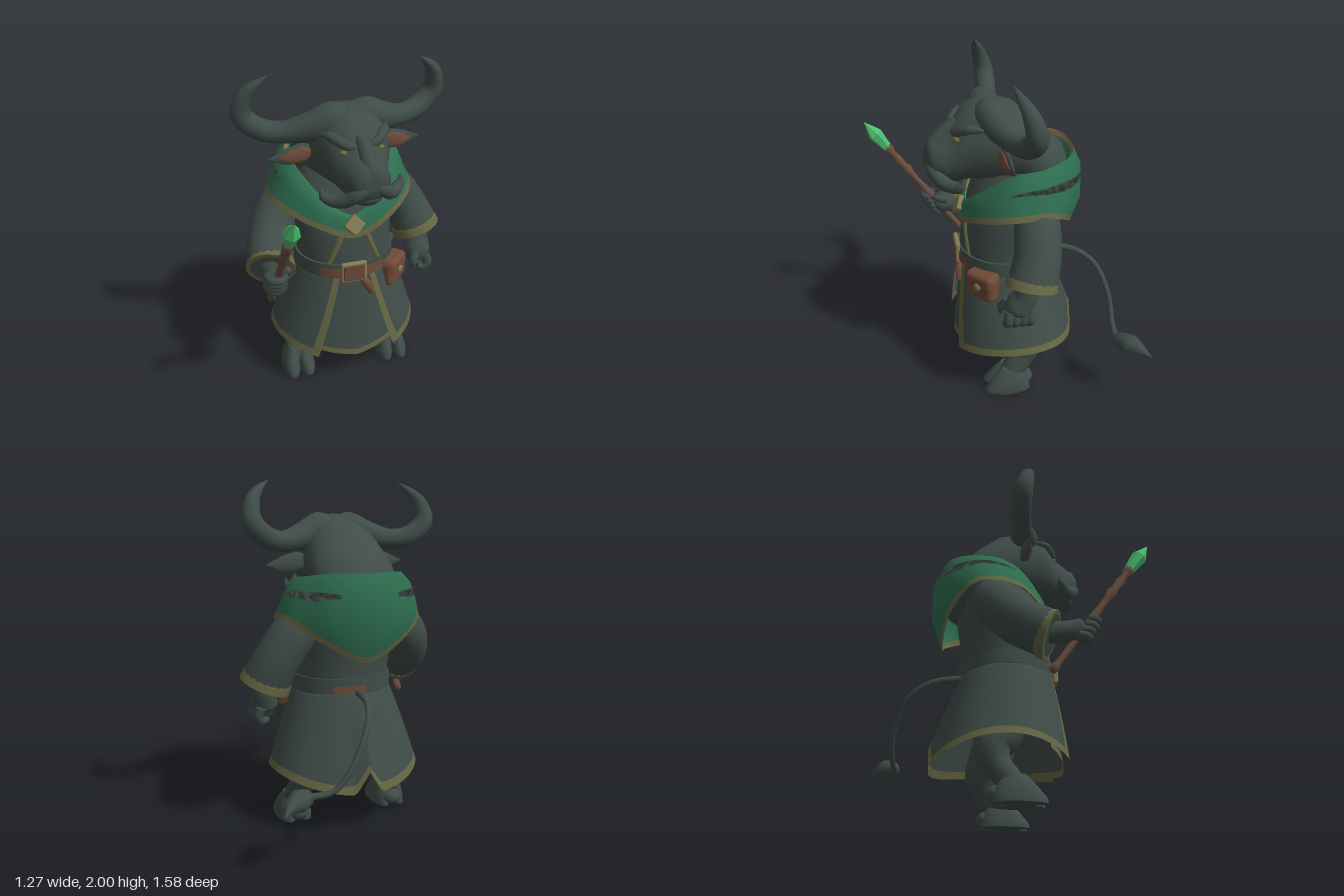
import * as THREE from 'three';
import { ParametricGeometry } from 'three/addons/geometries/ParametricGeometry.js';
import { RoundedBoxGeometry } from 'three/addons/geometries/RoundedBoxGeometry.js';

const V = (x, y, z) => new THREE.Vector3(x, y, z);
const lerp = THREE.MathUtils.lerp;

// Skin a list of equal-length closed rings; caps get their own vertices so rims stay sharp
function loft(rings, capped = true) {
  const n = rings[0].length, pos = [], idx = [];
  const add = p => pos.push(p.x, p.y, p.z) / 3 - 1;
  rings.forEach(r => r.forEach(add));
  for (let i = 0; i < rings.length - 1; i++) for (let j = 0; j < n; j++) {
    const a = i * n + j, b = i * n + (j + 1) % n;
    idx.push(a, b, a + n, b, b + n, a + n);
  }
  if (capped) [[rings[0], true], [rings.at(-1), false]].forEach(([r, start]) => {
    const c = add(r.reduce((s, p) => s.add(p), V(0, 0, 0)).divideScalar(n)), first = c + 1;
    r.forEach(add);
    for (let j = 0; j < n; j++) {
      const a = first + j, b = first + (j + 1) % n;
      start ? idx.push(c, b, a) : idx.push(c, a, b);
    }
  });
  // Turn the faces outward if the enclosed volume is negative
  const P = i => V(pos[3 * i], pos[3 * i + 1], pos[3 * i + 2]);
  let vol = 0;
  for (let i = 0; i < idx.length; i += 3) vol += P(idx[i]).dot(P(idx[i + 1]).cross(P(idx[i + 2])));
  if (vol < 0) idx.reverse();
  const g = new THREE.BufferGeometry();
  g.setAttribute('position', new THREE.Float32BufferAttribute(pos, 3));
  g.setIndex(idx);
  g.computeVertexNormals();
  return g;
}

// Round sweep through points, with one radius per point
function sweep(pts, radii, n = 10, per = 4) {
  const curve = new THREE.CatmullRomCurve3(pts.map(p => V(...p)), false, 'centripetal');
  const seg = (pts.length - 1) * per, rings = [];
  let normal = V(0.31, 0.17, 0.93);
  for (let i = 0; i <= seg; i++) {
    const t = i / seg, c = curve.getPoint(t), tan = curve.getTangent(t);
    normal = normal.clone().addScaledVector(tan, -normal.dot(tan)).normalize();
    const side = tan.clone().cross(normal), k = Math.min(Math.floor(i / per), pts.length - 2);
    const r = lerp(radii[k], radii[k + 1], i / per - k);
    rings.push(Array.from({ length: n }, (_, j) => {
      const a = j / n * Math.PI * 2;
      return c.clone().addScaledVector(normal, r * Math.cos(a)).addScaledVector(side, r * Math.sin(a));
    }));
  }
  return loft(rings);
}

// Horizontal ellipses: [y, centre x, centre z, radius x, radius z]
const stack = (rows, n = 32) => loft(rows.map(([y, x, z, rx, rz]) => Array.from({ length: n }, (_, j) => {
  const a = j / n * Math.PI * 2;
  return V(x + rx * Math.sin(a), y, z + rz * Math.cos(a));
})));

// Closed symmetric ring from points running front to back on the left side
function ring(half) {
  const mirrored = half.slice(1, -1).reverse().map(([x, y, z]) => [-x, y, z]);
  return new THREE.CatmullRomCurve3([...half, ...mirrored].map(p => V(...p)), true, 'centripetal').getPoints(60).slice(0, 60);
}
// Ring lying a fixed distance from ring a towards ring b
const stepRing = (a, b, d) => a.map((p, i) => p.clone().lerp(b[i], d / p.distanceTo(b[i])));

export function createModel() {
  const model = new THREE.Group();
  model.name = 'hornedMage';
  const mat = (name, color, side = THREE.FrontSide) => Object.assign(new THREE.MeshStandardMaterial({ color, side }), { name });
  const dark = mat('darkHideAndRobe', 0x3f4c47, THREE.DoubleSide);
  const green = mat('greenCloth', 0x2e6e50, THREE.DoubleSide);
  const trim = mat('oliveTrim', 0x656643, THREE.DoubleSide);
  const tan = mat('tanMetal', 0x837a53);
  const lip = mat('tanEdging', 0x806e4d, THREE.DoubleSide);
  const leather = mat('leather', 0x6e4938, THREE.DoubleSide);
  const wood = mat('wood', 0x6a4e3f);
  const gem = mat('greenCrystal', 0x4cbf70);
  gem.flatShading = true;
  const gold = mat('eyeGold', 0x6c663c);
  const put = (name, geo, m, parent = model) => {
    const mesh = new THREE.Mesh(geo, m);
    mesh.name = name;
    parent.add(mesh);
    return mesh;
  };
  const ball = (name, m, p, r, parent = model) => {
    const b = put(name, new THREE.SphereGeometry(1, 16, 12), m, parent);
    b.position.set(...p);
    b.scale.set(...r);
  };

  // Torso
  put('torso', stack([[0.76, 0, 0.01, 0.285, 0.26], [0.9, 0, 0.01, 0.285, 0.26], [1.02, 0, -0.005, 0.292, 0.262],
    [1.15, 0, -0.025, 0.3, 0.262], [1.3, 0, -0.06, 0.28, 0.25], [1.42, 0, -0.1, 0.2, 0.2]]), dark);

  // Head: sections along z, [z, centre y, half width, half height], turned slightly to its left
  const head = new THREE.Group();
  head.name = 'head';
  head.rotation.y = 0.1;
  model.add(head);
  const headRows = [[0.456, 1.48, 0.04, 0.035], [0.448, 1.48, 0.08, 0.08], [0.42, 1.475, 0.112, 0.115], [0.36, 1.472, 0.128, 0.14],
    [0.29, 1.5, 0.152, 0.172], [0.22, 1.56, 0.19, 0.22], [0.1, 1.57, 0.215, 0.248], [-0.05, 1.53, 0.245, 0.235],
    [-0.18, 1.43, 0.262, 0.225], [-0.27, 1.37, 0.225, 0.2], [-0.33, 1.35, 0.165, 0.16], [-0.37, 1.34, 0.08, 0.08]];
  put('skullAndNeck', loft(headRows.map(([z, cy, rx, ry]) => Array.from({ length: 28 }, (_, j) => {
    const a = j / 28 * Math.PI * 2;
    return V(rx * Math.cos(a), cy + ry * Math.sin(a), z);
  }))), dark, head);
  ball('chin', dark, [0, 1.385, 0.37], [0.09, 0.058, 0.07], head);
  put('noseBridge', sweep([[0, 1.68, 0.27], [0, 1.6, 0.36], [0, 1.54, 0.405], [0, 1.49, 0.415]], [0.035, 0.045, 0.052, 0.04]), dark, head);
  for (const s of [1, -1]) {
    put('horn', sweep([[0.03 * s, 1.72, 0.1], [0.1 * s, 1.732, 0.1], [0.2 * s, 1.695, 0.075], [0.35 * s, 1.663, 0.025], [0.47 * s, 1.685, -0.01],
      [0.562 * s, 1.77, -0.02], [0.55 * s, 1.88, 0.01], [0.5 * s, 1.945, 0.04], [0.43 * s, 2, 0.065]],
      [0.085, 0.094, 0.083, 0.061, 0.061, 0.061, 0.045, 0.028, 0.002], 14), dark, head);
    const ear = new THREE.Group();
    ear.name = 'ear';
    ear.position.set(0.18 * s, 1.55, 0.06);
    ear.scale.z = 0.35;
    head.add(ear);
    put('earShell', sweep([[0, 0, 0], [0.08 * s, -0.005, 0], [0.17 * s, -0.02, 0], [0.275 * s, -0.02, 0]], [0.025, 0.058, 0.05, 0.002]), dark, ear);
    put('earInner', sweep([[0.02 * s, 0, 0.05], [0.08 * s, -0.01, 0.05], [0.15 * s, -0.02, 0.05], [0.22 * s, -0.02, 0.02]], [0.015, 0.05, 0.042, 0.004]), leather, ear);
    ball('eye', gold, [0.102 * s, 1.612, 0.289], [0.026, 0.014, 0.022], head);
    put('brow', sweep([[0.02 * s, 1.63, 0.3], [0.09 * s, 1.65, 0.285], [0.15 * s, 1.682, 0.23], [0.19 * s, 1.68, 0.16]], [0.02, 0.028, 0.03, 0.01]), dark, head);
    ball('nostril', dark, [0.045 * s, 1.5, 0.425], [0.042, 0.034, 0.03], head);
    put('moustache', sweep([[0.01 * s, 1.465, 0.43], [0.07 * s, 1.43, 0.425], [0.125 * s, 1.38, 0.385], [0.185 * s, 1.365, 0.33],
      [0.225 * s, 1.385, 0.3], [0.235 * s, 1.43, 0.285]], [0.025, 0.038, 0.039, 0.036, 0.027, 0.003]), dark, head);
  }

  // Hooded mantle: rings from the hem up to the inside of the collar
  const hem = ring([[0, 1.06, 0.272], [0.22, 1.135, 0.225], [0.415, 1.22, 0.03], [0.415, 1.23, -0.2], [0.25, 1.12, -0.34], [0, 1, -0.375]]);
  const fold = ring([[0, 1.165, 0.257], [0.2, 1.24, 0.21], [0.36, 1.34, 0.02], [0.385, 1.34, -0.2], [0.24, 1.25, -0.385], [0, 1.2, -0.445]]);
  const roll = ring([[0, 1.18, 0.247], [0.19, 1.28, 0.19], [0.34, 1.41, 0], [0.35, 1.43, -0.19], [0.235, 1.42, -0.37], [0, 1.39, -0.445]]);
  const top = ring([[0, 1.19, 0.23], [0.18, 1.31, 0.155], [0.295, 1.45, -0.02], [0.3, 1.475, -0.18], [0.2, 1.5, -0.34], [0, 1.5, -0.395]]);
  const inner = ring([[0, 1.16, 0.19], [0.15, 1.27, 0.12], [0.255, 1.39, -0.02], [0.255, 1.4, -0.17], [0.17, 1.42, -0.3], [0, 1.42, -0.35]]);
  const hemTop = stepRing(hem, fold, 0.036), lipEdge = stepRing(top, inner, 0.03);
  put('mantle', loft([hemTop, fold, roll, top], false), green);
  put('mantleHem', loft([hem, hemTop], false), trim);
  put('collarEdge', loft([top, lipEdge], false), lip);
  put('collarInside', loft([lipEdge, inner], false), green);

  // A surface given by f(u, v), cut to part of its range
  const patch = (name, f, m, u0, u1, v0, v1, nu, nv) =>
    put(name, new ParametricGeometry((u, v, t) => f(lerp(u0, u1, u), lerp(v0, v1, v), t), nu, nv), m);

  // Dark stripes lying just off both sides of the hood
  for (const s of [1, -1]) {
    const stripe = (u, v, out) => {
      const i = Math.round(u), k = (u - 12) / 14;
      const t = lerp(0.25, 0.85, k) + (v - 0.5) * 0.4 * Math.sin(Math.PI * (0.08 + 0.84 * k));
      out.lerpVectors(fold[i], roll[i], t);
      out.set(out.x * 1.016 * s, out.y, (out.z + 0.1) * 1.016 - 0.1);
    };
    patch('hoodStripe', stripe, dark, 12, 26, 0, 1, 14, 2);
  }
  const brooch = put('brooch', new RoundedBoxGeometry(0.092, 0.092, 0.035, 2, 0.01), tan);
  brooch.position.set(-0.005, 1.145, 0.272);
  brooch.rotation.set(-0.4, 0, Math.PI / 4);

  // Robe skirt: u runs round from one front edge to the other, v from waist to hem
  const skirt = (u, v, out) => {
    const a0 = lerp(0.3, 0.55, v), phi = lerp(a0, Math.PI * 2 - a0, u), c = Math.cos(phi), d = Math.abs(phi - Math.PI);
    const w = Math.pow(v, 0.9), low = 0.335 - 0.09 * c * c + 0.13 * Math.max(0, 1 - d / 0.18);
    out.set(lerp(0.287, 0.46, w) * Math.sin(phi), lerp(0.82, low, v), lerp(0.015, -0.025, w) + lerp(0.262, 0.405, w) * c);
  };
  const underskirt = (u, v, out) => {
    const phi = lerp(-0.85, 0.85, u), c = Math.cos(phi);
    out.set(lerp(0.275, 0.42, v) * Math.sin(phi), lerp(0.82, 0.24 + 0.05 * Math.abs(phi) / 0.6, v), 0.01 - 0.03 * v + lerp(0.25, 0.345, v) * c);
  };
  patch('robeSkirt', skirt, dark, 0.022, 0.978, 0, 0.915, 96, 10);
  patch('robeHem', skirt, trim, 0, 1, 0.915, 1, 100, 1);
  patch('robeFrontEdge', skirt, trim, 0, 0.022, 0, 0.915, 1, 10);
  patch('robeFrontEdge', skirt, trim, 0.978, 1, 0, 0.915, 1, 10);
  patch('underskirt', underskirt, dark, 0, 1, 0, 0.935, 20, 6);
  patch('underskirtHem', underskirt, trim, 0, 1, 0.935, 1, 20, 1);
  for (const s of [1, -1]) put('chestTrim', sweep([[0.055 * s, 1.12, 0.232], [0.095 * s, 1.01, 0.237], [0.145 * s, 0.88, 0.225]], [0.02, 0.02, 0.02], 8), trim);

  // Belt, buckle and pouch
  put('belt', stack([[0.795, 0, 0.012, 0.303, 0.27], [0.885, 0, 0.012, 0.298, 0.27]], 40), dark);
  const strap = (u, v, out) => out.set(0.309 * Math.sin(u), v, 0.012 + 0.28 * Math.cos(u));
  patch('frontStrap', strap, leather, -0.68, 0.62, 0.8, 0.868, 16, 1);
  patch('backStrap', strap, leather, Math.PI - 0.5, Math.PI + 0.15, 0.8, 0.845, 10, 1);
  put('buckle', new RoundedBoxGeometry(0.155, 0.132, 0.03, 2, 0.012), tan).position.set(-0.012, 0.842, 0.29);
  put('bucklePlate', new RoundedBoxGeometry(0.128, 0.106, 0.02, 2, 0.008), leather).position.set(-0.012, 0.842, 0.299);
  put('strapEnd', sweep([[0.03, 0.8, 0.28], [0.07, 0.74, 0.285], [0.1, 0.68, 0.29]], [0.022, 0.028, 0.02], 8), leather);
  const pouch = new THREE.Group();
  pouch.name = 'pouch';
  pouch.position.set(0.268, 0.742, 0.168);
  pouch.rotation.y = 0.75;
  model.add(pouch);
  put('pouchBag', new RoundedBoxGeometry(0.2, 0.17, 0.1, 3, 0.035), leather, pouch);
  put('pouchFlap', new RoundedBoxGeometry(0.19, 0.1, 0.11, 3, 0.03), leather, pouch).position.y = 0.04;
  ball('pouchButton', tan, [0, 0.01, 0.055], [0.024, 0.024, 0.01], pouch);

  // Sleeves with a cuff band
  const sleeve = (pts, radii, a, b, r) => {
    put('sleeve', sweep(pts, radii, 20), dark);
    put('cuff', sweep([a, b], [r - 0.005, r + 0.005], 20), trim);
    const dir = V(...b).sub(V(...a)).normalize();
    const lining = put('cuffLining', new THREE.CircleGeometry(r - 0.02, 20), dark);
    lining.position.set(...b).addScaledVector(dir, 0.002);
    lining.quaternion.setFromUnitVectors(V(0, 0, 1), dir);
  };
  sleeve([[0.22, 1.25, -0.11], [0.345, 1.15, -0.13], [0.445, 1, -0.115], [0.505, 0.87, -0.075]], [0.1, 0.132, 0.135, 0.143],
    [0.488, 0.905, -0.083], [0.506, 0.855, -0.072], 0.147);
  sleeve([[-0.22, 1.25, -0.1], [-0.36, 1.13, -0.1], [-0.44, 0.99, 0.01], [-0.475, 0.9, 0.165]], [0.1, 0.132, 0.135, 0.136],
    [-0.466, 0.905, 0.145], [-0.481, 0.885, 0.195], 0.139);

  // Left hand, hanging
  put('leftHand', sweep([[0.505, 0.9, -0.06], [0.505, 0.8, -0.04], [0.495, 0.73, -0.005], [0.49, 0.67, 0.005]], [0.06, 0.07, 0.085, 0.06], 12), dark);
  for (let i = 0; i < 4; i++) {
    const z = -0.075 + i * 0.042;
    put('leftFinger', sweep([[0.53, 0.72, z], [0.545, 0.665, z + 0.01], [0.52, 0.635, z + 0.015], [0.48, 0.645, z + 0.015]], [0.03, 0.03, 0.027, 0.016], 8), dark);
  }
  put('leftThumb', sweep([[0.465, 0.75, 0.05], [0.44, 0.7, 0.085], [0.44, 0.655, 0.085]], [0.03, 0.028, 0.016], 8), dark);

  // Staff, built upright and tilted forward through the right fist
  const staff = new THREE.Group();
  staff.name = 'staff';
  staff.position.set(-0.49, 0.67, 0.19);
  staff.quaternion.setFromUnitVectors(V(0, 1, 0), V(0.04, 0.85, 0.6).normalize());
  model.add(staff);
  const lathe = pts => pts.map(([r, y]) => new THREE.Vector2(r, y));
  put('shaft', new THREE.LatheGeometry(lathe([[0, 0], [0.02, 0], [0.026, 0.03], [0.018, 0.08], [0.02, 0.3], [0.024, 0.45], [0.019, 0.5],
    [0.022, 0.58], [0.033, 0.63], [0.022, 0.66], [0.028, 0.72], [0.02, 0.77], [0.033, 0.8], [0.03, 0.83], [0, 0.84]]), 8), wood, staff);
  put('crystal', new THREE.LatheGeometry(lathe([[0, 0.8], [0.03, 0.82], [0.046, 0.94], [0, 1.04]]), 6), gem, staff);

  // Right hand gripping the staff
  put('rightHand', sweep([[-0.485, 0.89, 0.15], [-0.487, 0.905, 0.26], [-0.48, 0.92, 0.35], [-0.478, 0.93, 0.385]], [0.058, 0.06, 0.07, 0.05], 12), dark);
  for (let i = 0; i < 4; i++) {
    const y = 0.872 + i * 0.034, z = 0.33 + i * 0.018;
    put('rightFinger', sweep([[-0.535, y, z], [-0.52, y, z + 0.05], [-0.475, y, z + 0.068], [-0.43, y, z + 0.035]], [0.022, 0.026, 0.025, 0.014], 8), dark);
  }
  put('rightThumb', sweep([[-0.44, 0.95, 0.32], [-0.415, 0.975, 0.36], [-0.43, 0.99, 0.4]], [0.028, 0.025, 0.014], 8), dark);

  // Legs with cloven hooves
  for (const s of [1, -1]) {
    put('leg', sweep([[0.2 * s, 0.56, -0.02], [0.24 * s, 0.42, -0.05], [0.275 * s, 0.3, -0.1], [0.295 * s, 0.21, -0.075], [0.31 * s, 0.12, -0.01], [0.312 * s, 0.06, 0.01]],
      [0.12, 0.13, 0.105, 0.075, 0.072, 0.085], 14), dark);
    for (const k of [-1, 1]) put('hoof', stack([[0, (0.315 + k * 0.05) * s, 0.035, 0.056, 0.142], [0.03, (0.315 + k * 0.049) * s, 0.035, 0.057, 0.138],
      [0.09, (0.315 + k * 0.043) * s, 0.02, 0.05, 0.105], [0.15, (0.31 + k * 0.033) * s, 0.01, 0.03, 0.06]], 14), dark);
    ball('heel', dark, [0.31 * s, 0.05, -0.075], [0.06, 0.05, 0.055]);
  }

  // Tail and tuft
  put('tail', sweep([[0, 0.81, -0.22], [0.02, 0.785, -0.42], [0.08, 0.7, -0.56], [0.19, 0.52, -0.635], [0.3, 0.39, -0.635], [0.45, 0.37, -0.62]],
    [0.022, 0.019, 0.017, 0.016, 0.016, 0.02], 8), dark);
  put('tailTuft', sweep([[0.42, 0.365, -0.61], [0.46, 0.375, -0.635], [0.515, 0.385, -0.68], [0.57, 0.38, -0.725], [0.625, 0.355, -0.785]],
    [0.015, 0.05, 0.062, 0.038, 0.002], 8), dark);
  return model;
}
